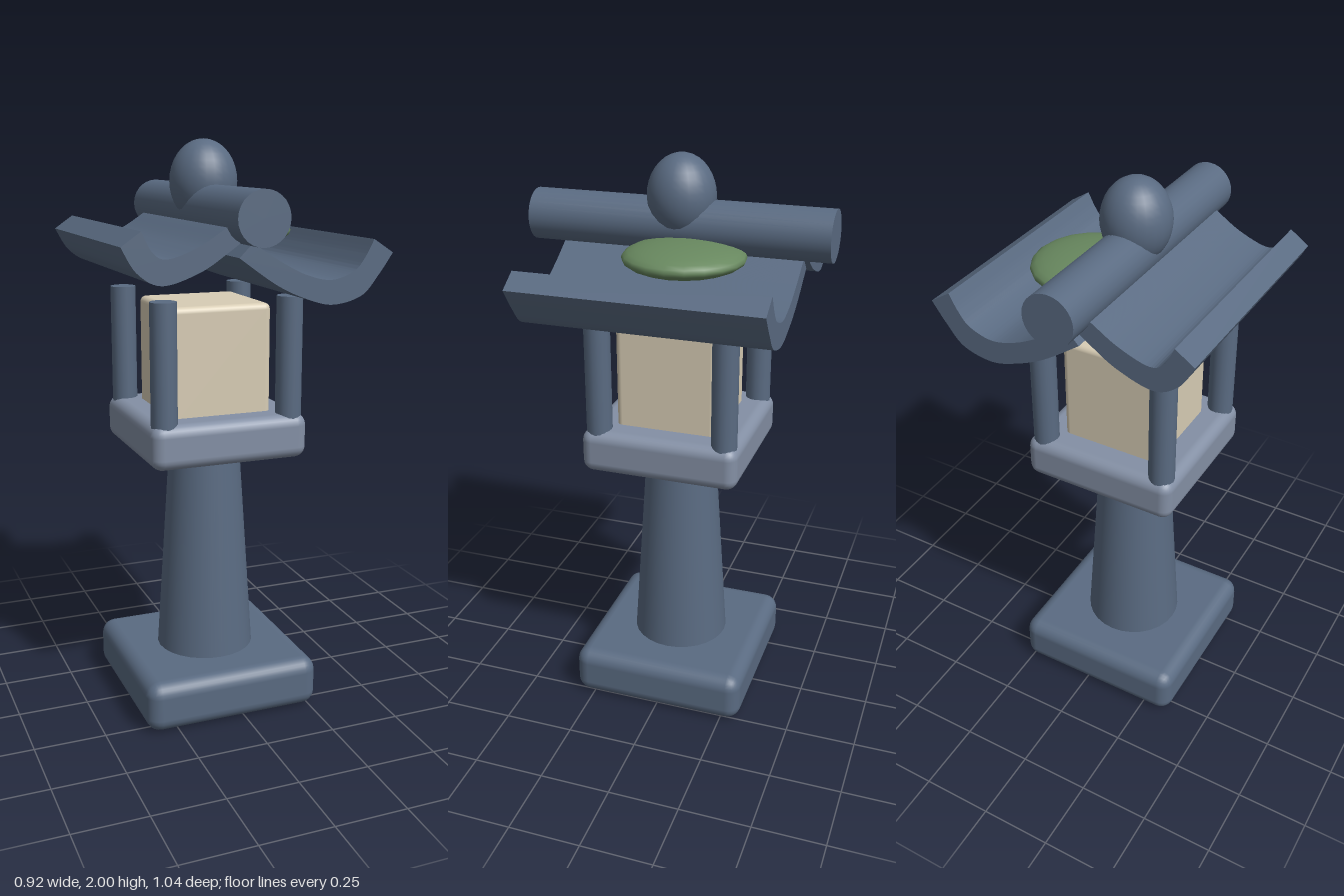
import * as THREE from 'three';
import { toCreasedNormals } from 'three/addons/utils/BufferGeometryUtils.js';
import { RoundedBoxGeometry } from 'three/addons/geometries/RoundedBoxGeometry.js';

const material = (name, color) => Object.assign(new THREE.MeshStandardMaterial({ color }), { name });

export function createModel() {
  const model = new THREE.Group();
  model.name = 'stoneLantern';
  const slate = material('slate', 0x5a6b82);
  const paleStone = material('paleStone', 0x8490a5);
  const paper = material('paper', 0xd8cdb5);
  const moss = material('moss', 0x68885f);
  const axisX = -0.04; // the lantern stands slightly off centre

  const add = (name, geometry, mat, x, y, z = 0) => {
    const mesh = new THREE.Mesh(geometry, mat);
    mesh.name = name;
    mesh.position.set(x, y, z);
    model.add(mesh);
    return mesh;
  };
  const block = (name, mat, width, bottom, top, radius) =>
    add(name, new RoundedBoxGeometry(width, top - bottom, width, 3, radius), mat, axisX, (bottom + top) / 2);

  // Pedestal, column, platform and light box
  block('base', slate, 0.64, 0, 0.18, 0.05);
  add('column', new THREE.CylinderGeometry(0.125, 0.177, 0.8, 28), slate, axisX, 0.56);
  block('platform', paleStone, 0.56, 0.93, 1.085, 0.04);
  block('lightBox', paper, 0.36, 1.06, 1.46, 0.022);

  // Corner posts
  for (const sx of [-1, 1]) {
    for (const sz of [-1, 1]) {
      add('post', new THREE.CylinderGeometry(0.045, 0.045, 0.43, 16), slate,
        axisX + sx * 0.225, 1.275, sz * 0.225);
    }
  }

  // Curved roof slabs: upper edge one way, lower edge back, extruded along z
  const roofSlab = (name, upper, lower) => {
    const vec = ([x, y]) => new THREE.Vector2(x, y);
    const shape = new THREE.Shape();
    shape.moveTo(...upper[0]);
    shape.splineThru(upper.slice(1).map(vec));
    shape.lineTo(...lower[0]);
    shape.splineThru(lower.slice(1).map(vec));
    shape.closePath();
    const geometry = new THREE.ExtrudeGeometry(shape, { depth: 0.84, bevelEnabled: false, curveSegments: 20 });
    add(name, toCreasedNormals(geometry, 0.7), slate, 0, 0, -0.42);
  };
  roofSlab('leftRoofSlab',
    [[-0.035, 1.685], [0.06, 1.625], [0.15, 1.58], [0.24, 1.56], [0.32, 1.585], [0.36, 1.63], [0.39, 1.685]],
    [[0.46, 1.64], [0.41, 1.57], [0.35, 1.505], [0.25, 1.48], [0.16, 1.5], [0.05, 1.55], [-0.08, 1.64]]);
  roofSlab('rightRoofSlab',
    [[-0.05, 1.775], [-0.12, 1.735], [-0.21, 1.68], [-0.31, 1.645], [-0.36, 1.665], [-0.395, 1.73]],
    [[-0.46, 1.685], [-0.41, 1.605], [-0.33, 1.565], [-0.21, 1.6], [-0.12, 1.655], [-0.05, 1.705]]);

  // Ridge beam and finial
  add('ridgeBeam', new THREE.CylinderGeometry(0.087, 0.087, 1.04, 28), slate, axisX, 1.765)
    .rotation.x = Math.PI / 2;
  add('finial', new THREE.SphereGeometry(0.116, 24, 18), slate, axisX, 1.86).scale.y = 1.21;

  // Moss cushion resting on the roof
  add('mossPatch', new THREE.SphereGeometry(0.206, 20, 14), moss, 0.087, 1.69, -0.05).scale.y = 0.25;

  return model;
}
